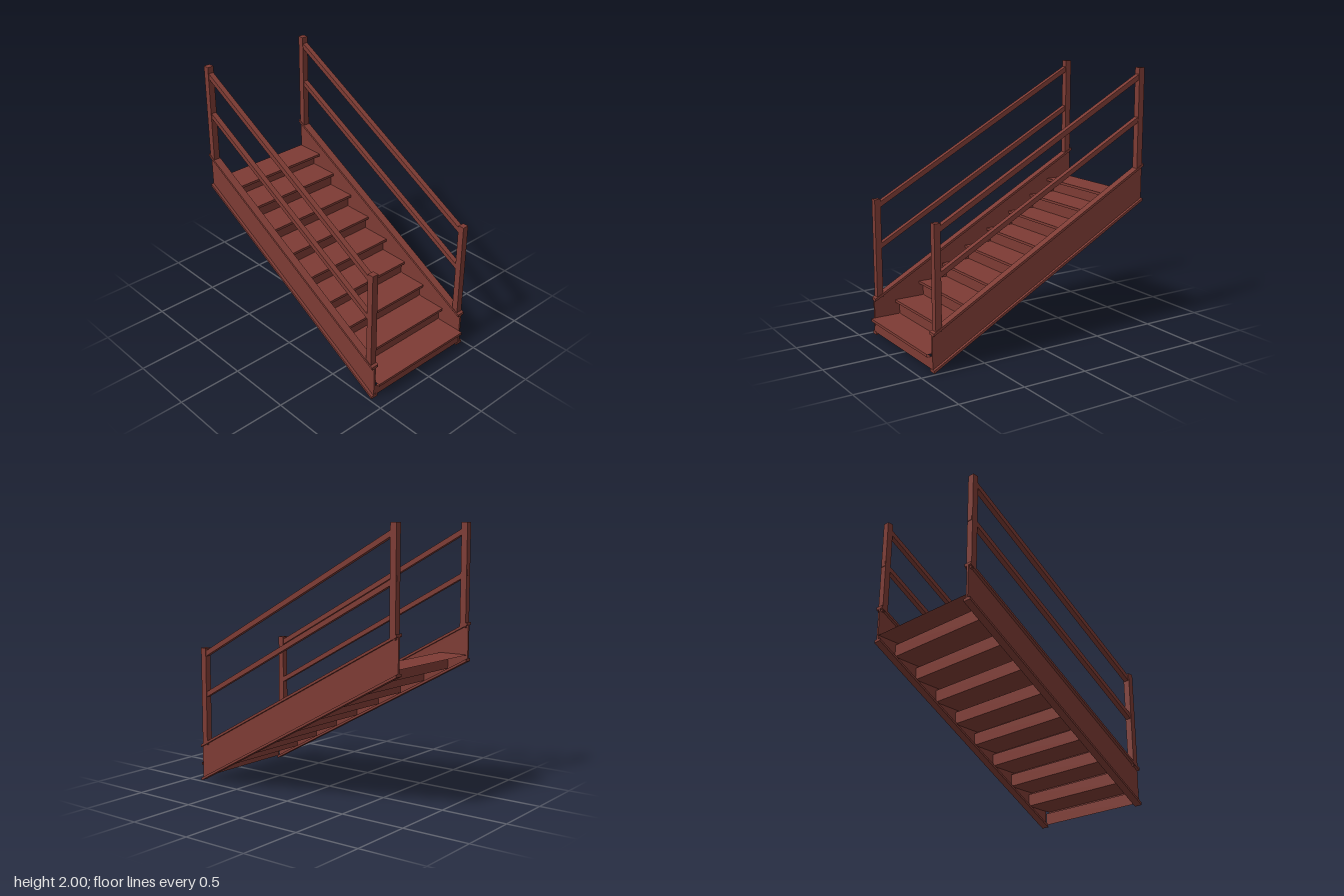
import * as THREE from 'three';

const SLOPE = 0.548;
const SIDE_X = 0.453;
const FRONT_Z = 0.89, BACK_Z = -0.925;
const paint = new THREE.MeshStandardMaterial({ color: 0x7d3b34, flatShading: true });
const sheetPaint = new THREE.MeshStandardMaterial({ color: 0x7d3b34, flatShading: true, side: THREE.DoubleSide });

function add(parent, name, geometry, material = paint) {
  const mesh = new THREE.Mesh(geometry, material);
  mesh.name = name;
  parent.add(mesh);
  return mesh;
}

// Sloping bar with plumb-cut ends, running from z0 back to z1; y is its underside at z0.
function slopingBar(z0, z1, y, height, width) {
  const rise = (z0 - z1) * SLOPE;
  const shape = new THREE.Shape([
    new THREE.Vector2(z0, y),
    new THREE.Vector2(z0, y + height),
    new THREE.Vector2(z1, y + rise + height),
    new THREE.Vector2(z1, y + rise),
  ]);
  const geometry = new THREE.ExtrudeGeometry(shape, { depth: width, bevelEnabled: false });
  return geometry.translate(0, 0, -width / 2).rotateY(-Math.PI / 2);
}

// Sheet bent along a [z, y] profile and spanning the stair's width.
function foldedSheet(profile, halfWidth) {
  const positions = [];
  for (let i = 0; i < profile.length - 1; i++) {
    const [z0, y0] = profile[i], [z1, y1] = profile[i + 1];
    const a = [-halfWidth, y0, z0], b = [halfWidth, y0, z0];
    const c = [halfWidth, y1, z1], d = [-halfWidth, y1, z1];
    positions.push(...a, ...b, ...c, ...a, ...c, ...d);
  }
  const geometry = new THREE.BufferGeometry();
  geometry.setAttribute('position', new THREE.Float32BufferAttribute(positions, 3));
  geometry.computeVertexNormals();
  return geometry;
}

function post(z, bottom, top) {
  return new THREE.BoxGeometry(0.05, top - bottom, 0.048).translate(0, (top + bottom) / 2, z);
}

function createSide(name, x) {
  const side = new THREE.Group();
  side.name = name;
  side.position.x = x;

  // I-section stringer
  add(side, 'stringerWeb', slopingBar(FRONT_Z, BACK_Z, 0.01, 0.265, 0.016));
  add(side, 'stringerBottomFlange', slopingBar(FRONT_Z, BACK_Z, 0, 0.02, 0.06));
  add(side, 'stringerTopFlange', slopingBar(FRONT_Z, BACK_Z, 0.266, 0.02, 0.06));

  // Posts and rails
  add(side, 'frontPost', post(0.848, 0.29, 1.045));
  add(side, 'backPost', post(-0.888, 1.24, 2));
  add(side, 'topRail', slopingBar(0.835, -0.895, 0.978, 0.042, 0.04));
  add(side, 'middleRail', slopingBar(0.835, -0.915, 0.662, 0.04, 0.04));
  return side;
}

function createSteps() {
  const steps = new THREE.Group();
  steps.name = 'steps';
  const count = 9, run = 0.2064, rise = 0.1138, overhang = 0.034, lip = 0.02;
  for (let i = 0; i < count; i++) {
    const last = i === count - 1;
    const riserZ = 0.923 - i * run - overhang;
    const top = 0.132 + i * rise;
    const nose = riserZ + overhang * (last ? 2 : 1);
    const back = last ? BACK_Z : riserZ - run;
    // Riser, return under the nosing, lip and tread in one folded plate
    const profile = [
      [riserZ, i === 0 ? 0.02 : top - rise],
      [riserZ, top - lip],
      [nose, top - lip],
      [nose, top],
      [back, top],
    ];
    add(steps, 'step', foldedSheet(profile, 0.441), sheetPaint);
  }
  return steps;
}

export function createModel() {
  const group = new THREE.Group();
  group.name = 'staircase';
  group.add(createSide('leftSide', SIDE_X), createSide('rightSide', -SIDE_X), createSteps());
  return group;
}
